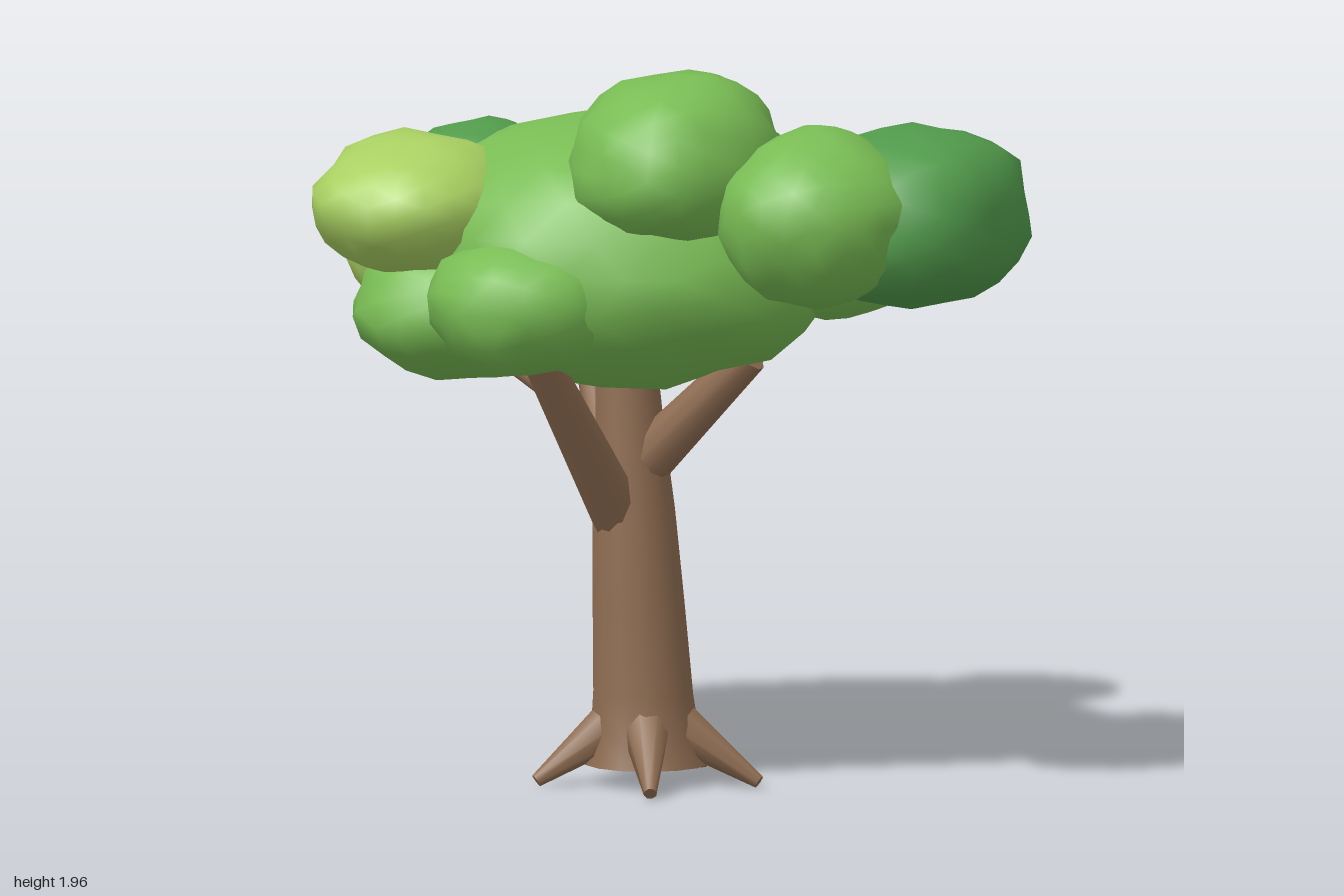
import * as THREE from 'three';
import { mergeVertices } from 'three/addons/utils/BufferGeometryUtils.js';

const mat = (name, color) => {
  const m = new THREE.MeshStandardMaterial({ color });
  m.name = name;
  return m;
};

// Lumpy clump of leaves: icosphere pushed in and out by smooth waves
function leafClump(center, radii, seed) {
  let geo = new THREE.IcosahedronGeometry(1, 3);
  geo.deleteAttribute('normal');
  geo.deleteAttribute('uv');
  geo = mergeVertices(geo, 1e-4);
  geo.rotateY(seed * 1.7);
  const p = geo.attributes.position;
  const v = new THREE.Vector3();
  const power = 2.12;
  for (let i = 0; i < p.count; i++) {
    v.fromBufferAttribute(p, i);
    const wave = Math.sin(v.x * 5.3 + seed * 2.1) + Math.sin(v.y * 5.9 + seed * 3.7)
      + Math.sin(v.z * 5.6 + seed * 1.3) + Math.sin((v.x - v.z + v.y) * 6.5 + seed)
      + Math.sin((v.x + v.z - v.y) * 7.5 + seed * 2.9);
    const box = Math.abs(v.x) ** power + Math.abs(v.y) ** power + Math.abs(v.z) ** power;
    v.multiplyScalar(box ** (-1 / power) * (1 + 0.02 * wave));
    p.setXYZ(i, v.x, v.y, v.z);
  }
  // Fit the lumps to the wanted radii
  geo.center();
  const { max } = geo.boundingBox;
  geo.scale(radii[0] / max.x, radii[1] / max.y, radii[2] / max.z);
  geo.computeVertexNormals();
  return geo.translate(...center);
}

// Tapered round limb between two points
function limb(from, to, r0, r1, sides = 10) {
  const a = new THREE.Vector3(...from), b = new THREE.Vector3(...to);
  const dir = b.clone().sub(a);
  const geo = new THREE.CylinderGeometry(r1, r0, dir.length(), sides);
  geo.applyQuaternion(new THREE.Quaternion().setFromUnitVectors(new THREE.Vector3(0, 1, 0), dir.normalize()));
  const mid = a.add(b).multiplyScalar(0.5);
  return geo.translate(mid.x, mid.y, mid.z);
}

export function createModel() {
  const tree = new THREE.Group();
  tree.name = 'tree';
  const bark = mat('bark brown', 0x8e6c51);
  const green = mat('leaf green', 0x79bc54);
  const dark = mat('dark leaf green', 0x529b4c);
  const lime = mat('lime leaf', 0xa9d062);

  const add = (parent, name, geo, material) => {
    const mesh = new THREE.Mesh(geo, material);
    mesh.name = name;
    parent.add(mesh);
  };

  // Trunk: turned profile leaning slightly to the right as it rises
  const profile = [[0.17, 0.06], [0.148, 0.14], [0.136, 0.25], [0.125, 0.5], [0.112, 0.75], [0.095, 0.95], [0.08, 1.2]];
  const trunk = new THREE.LatheGeometry(profile.map(([r, y]) => new THREE.Vector2(r, y)), 14);
  const p = trunk.attributes.position;
  for (let i = 0; i < p.count; i++) p.setX(i, p.getX(i) - 0.05 - 0.055 * p.getY(i));
  trunk.translate(0, 0, 0.085);
  add(tree, 'trunk', trunk, bark);
  const base = new THREE.CircleGeometry(0.17, 14).rotateX(Math.PI / 2).translate(-0.053, 0.06, 0.085);
  add(tree, 'trunkBase', base, bark);

  // Roots: thick at the trunk, blunt at the tip
  const roots = new THREE.Group();
  roots.name = 'roots';
  tree.add(roots);
  const tips = [[0.27, 0.05], [0.085, 0.37], [-0.3, 0.28], [-0.29, -0.18], [-0.02, -0.23]];
  for (const [x, z] of tips) {
    const dx = x + 0.06, dz = z - 0.085, d = Math.hypot(dx, dz);
    const at = (r, y) => [-0.06 + dx / d * r, y, 0.085 + dz / d * r];
    add(roots, 'root', limb(at(0.085, 0.17), at(d - 0.01, 0.022), 0.068, 0.018, 8), bark);
  }

  // Branches
  const branches = new THREE.Group();
  branches.name = 'branches';
  tree.add(branches);
  add(branches, 'frontBranch', limb([-0.115, 0.72, 0.12], [-0.19, 1.22, 0.5], 0.075, 0.05), bark);
  add(branches, 'leftBranch', limb([-0.1, 0.83, 0.09], [0.25, 1.18, 0.09], 0.075, 0.05), bark);
  add(branches, 'backBranch', limb([-0.13, 0.72, 0.05], [-0.41, 1.18, -0.31], 0.07, 0.045), bark);
  add(branches, 'backTwig', limb([-0.34, 1.06, -0.22], [-0.47, 1.19, -0.1], 0.03, 0.022, 8), bark);
  add(branches, 'frontTwig', limb([-0.17, 1.09, 0.41], [-0.33, 1.2, 0.45], 0.03, 0.022, 8), bark);

  // Leaf clumps: name, colour, centre, radii
  const leaves = new THREE.Group();
  leaves.name = 'leaves';
  tree.add(leaves);
  [
    ['mainClump', green, [-0.12, 1.455, 0.11], [0.61, 0.38, 0.58]],
    ['frontLimeClump', lime, [-0.565, 1.585, 0.44], [0.285, 0.195, 0.31]],
    ['rightLimeClump', lime, [-0.735, 1.42, -0.14], [0.265, 0.235, 0.315]],
    ['backClump', green, [-0.42, 1.335, -0.38], [0.41, 0.265, 0.37]],
    ['backDarkClump', dark, [-0.16, 1.51, -0.575], [0.27, 0.2, 0.245]],
    ['topClump', green, [0.14, 1.725, 0.32], [0.285, 0.245, 0.355]],
    ['leftFrontClump', green, [0.56, 1.605, 0.33], [0.28, 0.25, 0.31]],
    ['leftDarkClump', dark, [0.715, 1.58, 0.07], [0.285, 0.24, 0.345]],
    ['leftBackClump', green, [0.44, 1.515, -0.04], [0.29, 0.24, 0.31]],
    ['lowFrontClump', green, [-0.2, 1.355, 0.56], [0.255, 0.185, 0.26]],
    ['lowRightClump', green, [-0.48, 1.31, 0.28], [0.31, 0.21, 0.36]],
    ['rightDarkClump', dark, [-0.51, 1.575, 0.18], [0.25, 0.21, 0.24]],
  ].forEach(([name, m, c, r], i) => add(leaves, name, leafClump(c, r, i + 1), m));

  return tree;
}
